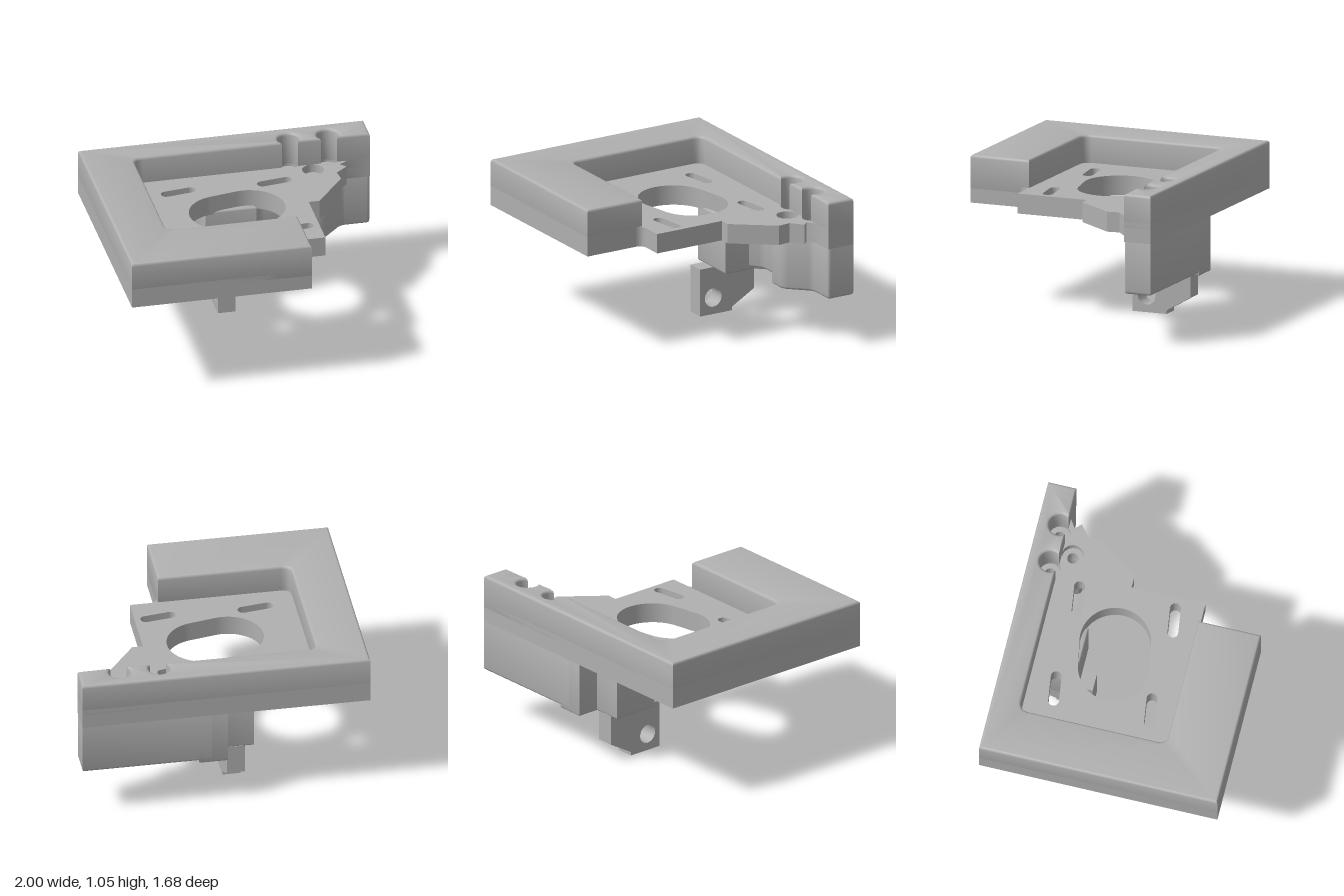
import * as THREE from 'three';
import { toCreasedNormals } from 'three/addons/utils/BufferGeometryUtils.js';

const grey = new THREE.MeshStandardMaterial({ color: 0xb0b0b0 });
grey.name = 'plain grey';

// Closed outline from [x, z, cornerRadius] points, drawn in the ground plane
function trace(points) {
  const shape = new THREE.Shape();
  const pts = points.map(([x, z]) => new THREE.Vector2(x, -z));
  pts.forEach((p, i) => {
    const r = points[i][2] || 0;
    const prev = pts[(i + pts.length - 1) % pts.length];
    const next = pts[(i + 1) % pts.length];
    const a = prev.clone().sub(p).setLength(r).add(p);
    const b = next.clone().sub(p).setLength(r).add(p);
    if (i === 0) shape.moveTo(a.x, a.y);
    else shape.lineTo(a.x, a.y);
    if (r) shape.quadraticCurveTo(p.x, p.y, b.x, b.y);
  });
  shape.closePath();
  return shape;
}

// Hole around two centres; a round hole when they coincide
function slot(x1, z1, x2, z2, r) {
  const path = new THREE.Path();
  const a = Math.atan2(z1 - z2, x2 - x1);
  path.absarc(x2, -z2, r, a - Math.PI / 2, a + Math.PI / 2, false);
  path.absarc(x1, -z1, r, a + Math.PI / 2, a + Math.PI * 1.5, false);
  path.closePath();
  return path;
}

// Vertical extrusion between two heights, with rounded rims if bevel > 0
function slab(name, outline, holes, y0, y1, bevel = 0) {
  const shape = trace(outline);
  shape.holes.push(...holes);
  const geo = new THREE.ExtrudeGeometry(shape, {
    depth: y1 - y0 - 2 * bevel, curveSegments: 20, bevelEnabled: bevel > 0,
    bevelSize: bevel, bevelThickness: bevel, bevelOffset: -bevel, bevelSegments: 3,
  });
  geo.rotateX(-Math.PI / 2).translate(0, y0 + bevel, 0);
  const mesh = new THREE.Mesh(toCreasedNormals(geo, 0.7), grey);
  mesh.name = name;
  return mesh;
}

// Half-open screw channel cut into the wall face at z = -0.64
function channel(cx, cz, r) {
  const start = Math.asin((-0.64 - cz) / r);
  const pts = [];
  for (let i = 0; i <= 20; i++) {
    const a = start - (i / 20) * (Math.PI + 2 * start);
    pts.push([cx + r * Math.cos(a), cz + r * Math.sin(a)]);
  }
  return pts;
}

export function createModel() {
  const group = new THREE.Group();
  group.name = 'mountingBracket';

  const screws = [[0.44, -0.69], [0.715, -0.69], [0.585, -0.565]];
  const screwHoles = (r) => screws.map(([x, z]) => slot(x, z, x, z, r));

  // Base plate with motor opening, adjustment slots and screw seats
  const base = [
    [-1, -0.84], [1, -0.84], [1, -0.64], [0.84, -0.64], [0.78, -0.6], [0.82, -0.56],
    [0.735, -0.49], [0.745, -0.4], [0.53, -0.12], [0.455, -0.12], [0.455, 0.4],
    [0.26, 0.4, 0.06], [0.26, 0.84], [-1, 0.84],
  ];
  const openings = () => {
    const list = [slot(-0.14, -0.1, 0.045, -0.135, 0.245)];
    for (const dx of [0, 0.675]) {
      for (const dz of [0, 0.675]) {
        list.push(slot(-0.472 + dx, -0.443 + dz, -0.298 + dx, -0.467 + dz, 0.037));
      }
    }
    return list;
  };
  group.add(slab('basePlate', base, [...openings(), ...screwHoles(0.038)], 0.72, 0.8));
  group.add(slab('screwSeatPlate', base, [...openings(), ...screwHoles(0.075)], 0.8, 0.86));

  // Raised C-shaped wall with rounded top rim
  const wall = [
    [-1, -0.84], [1, -0.84], [1, -0.64],
    ...channel(0.715, -0.69, 0.075), ...channel(0.44, -0.69, 0.075),
    [-0.66, -0.64, 0.07], [-0.66, 0.4, 0.07], [0.26, 0.4], [0.26, 0.84], [-1, 0.84],
  ];
  group.add(slab('raisedWall', wall, [], 0.8, 1.055, 0.02));

  // Screw block under the back corner
  const screwBlock = [
    [0.1, -0.84], [1, -0.84], [1, -0.64, 0.02], [0.8, -0.64, 0.03], [0.65, -0.485, 0.04],
    [0.5, -0.485, 0.03], [0.47, -0.6, 0.03], [0.22, -0.6, 0.03], [0.1, -0.5],
  ];
  group.add(slab('screwBlock', screwBlock, screwHoles(0.038), 0.355, 0.74, 0.02));

  // Column carrying the hinge arm
  const column = [
    [-0.22, -0.345], [0.14, -0.345], [0.14, -0.58], [0.19, -0.62], [0.19, -0.84],
    [-0.01, -0.84], [-0.01, -0.68], [-0.22, -0.68],
  ];
  group.add(slab('armColumn', column, [], 0.335, 0.74, 0.015));

  // Hinge arm with cross hole, drawn as (z, y) and extruded along x
  const profile = new THREE.Shape([
    [-0.245, 0], [-0.245, 0.34], [-0.68, 0.34], [-0.68, 0.13], [-0.5, 0.025], [-0.5, 0],
  ].map(([z, y]) => new THREE.Vector2(z, y)));
  profile.holes.push(new THREE.Path().absarc(-0.35, 0.12, 0.067, 0, Math.PI * 2, false));
  const armGeo = new THREE.ExtrudeGeometry(profile, { depth: 0.125, bevelEnabled: false, curveSegments: 40 });
  armGeo.rotateY(-Math.PI / 2).translate(-0.03, 0, 0);
  const arm = new THREE.Mesh(toCreasedNormals(armGeo, 0.5), grey);
  arm.name = 'hingeArm';
  group.add(arm);

  return group;
}
